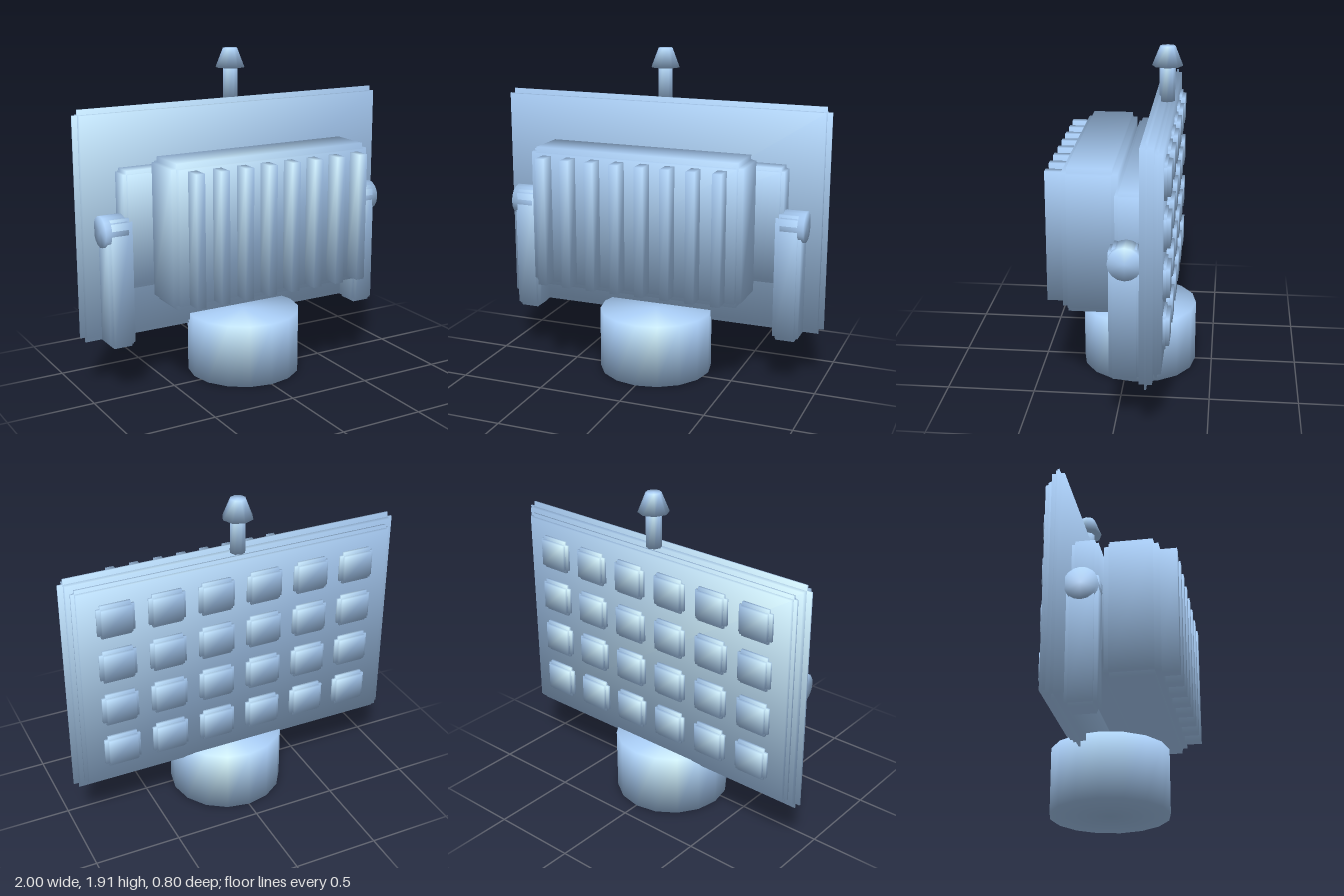
import * as THREE from 'three';
import { mergeGeometries } from 'three/addons/utils/BufferGeometryUtils.js';

const material = new THREE.MeshStandardMaterial({ color: 0xadd2fc });

// Replace the normals by a rule of position, so shading runs softly over the edges
function setNormals(geometry, rule) {
  const { position, normal } = geometry.attributes;
  const p = new THREE.Vector3();
  for (let i = 0; i < position.count; i++) {
    p.fromBufferAttribute(position, i);
    const n = rule(p).normalize();
    normal.setXYZ(i, n.x, n.y, n.z);
  }
  return geometry;
}

// Box whose corner normals point out along the diagonals
const softBox = (w, h, d) => setNormals(new THREE.BoxGeometry(w, h, d),
  (p) => new THREE.Vector3(Math.sign(p.x), Math.sign(p.y), Math.sign(p.z)));

// Cylinder whose rim normals lean halfway between side and cap
const softCylinder = (top, bottom, height, sides) =>
  setNormals(new THREE.CylinderGeometry(top, bottom, height, sides), (p) => {
    const r = Math.hypot(p.x, p.z) || 1;
    return new THREE.Vector3(p.x / r, Math.sign(p.y), p.z / r);
  });

// Box with a small step along every edge: three crossing boxes
const steppedBox = (w, h, d, step) => mergeGeometries([
  softBox(w, h - 2 * step, d - 2 * step),
  softBox(w - 2 * step, h, d - 2 * step),
  softBox(w - 2 * step, h - 2 * step, d),
]);

export function createModel() {
  const model = new THREE.Group();
  model.name = 'floodlight';

  const add = (name, geometry, x, y, z) => {
    const mesh = new THREE.Mesh(geometry, material);
    mesh.name = name;
    mesh.position.set(x, y, z);
    model.add(mesh);
    return mesh;
  };
  // Stepped block given by its limits on each axis
  const block = (name, [x0, x1], [y0, y1], [z0, z1], step) =>
    add(name, steppedBox(x1 - x0, y1 - y0, z1 - z0, step), (x0 + x1) / 2, (y0 + y1) / 2, (z0 + z1) / 2);

  // Round foot
  add('base', softCylinder(0.335, 0.335, 0.37, 16), 0, 0.185, -0.065);

  // Wide panel and the raised plate on its back
  block('panel', [-1, 1], [0.3, 1.63], [-0.21, -0.14], 0.03);
  block('backPlate', [-0.95, 0.95], [0.35, 1.58], [-0.252, -0.2], 0.02);

  // Grid of cells on the back
  const cell = steppedBox(0.21, 0.195, 0.06, 0.02);
  for (let row = 0; row < 4; row++) {
    for (let col = 0; col < 6; col++) {
      add('backCell', cell, (col - 2.5) * 0.29, 0.555 + row * 0.275, -0.257);
    }
  }

  // Stepped lamp housing on the front
  block('rearHousing', [-0.78, 0.78], [0.63, 1.3], [-0.14, 0.005], 0.02);
  block('lampHousing', [-0.63, 0.63], [0.56, 1.375], [0.005, 0.305], 0.03);

  // Vertical cooling fins
  const fin = softBox(0.052, 0.74, 0.11);
  for (let i = 0; i < 8; i++) add('fin', fin, (i - 3.5) * 0.1486, 0.965, 0.345);

  // Bracket arms with their pivot knobs
  for (const side of [-1, 1]) {
    const span = (a, b) => (side > 0 ? [a, b] : [-b, -a]);
    block('bracketArm', span(0.74, 0.89), [0.3, 1.04], [-0.14, 0.027], 0.02);
    add('pivotKnob', softCylinder(0.09, 0.09, 0.135, 16), side * 0.838, 0.967, -0.06).rotation.z = Math.PI / 2;
    add('pivotPin', softCylinder(0.055, 0.055, 0.16, 12), side * 0.8, 0.967, -0.06).rotation.z = Math.PI / 2;
  }

  // Post and tapered cap on top
  add('post', softCylinder(0.044, 0.044, 0.22, 8), 0, 1.71, -0.214);
  add('postCap', softCylinder(0.043, 0.087, 0.11, 8), 0, 1.855, -0.214);

  return model;
}
